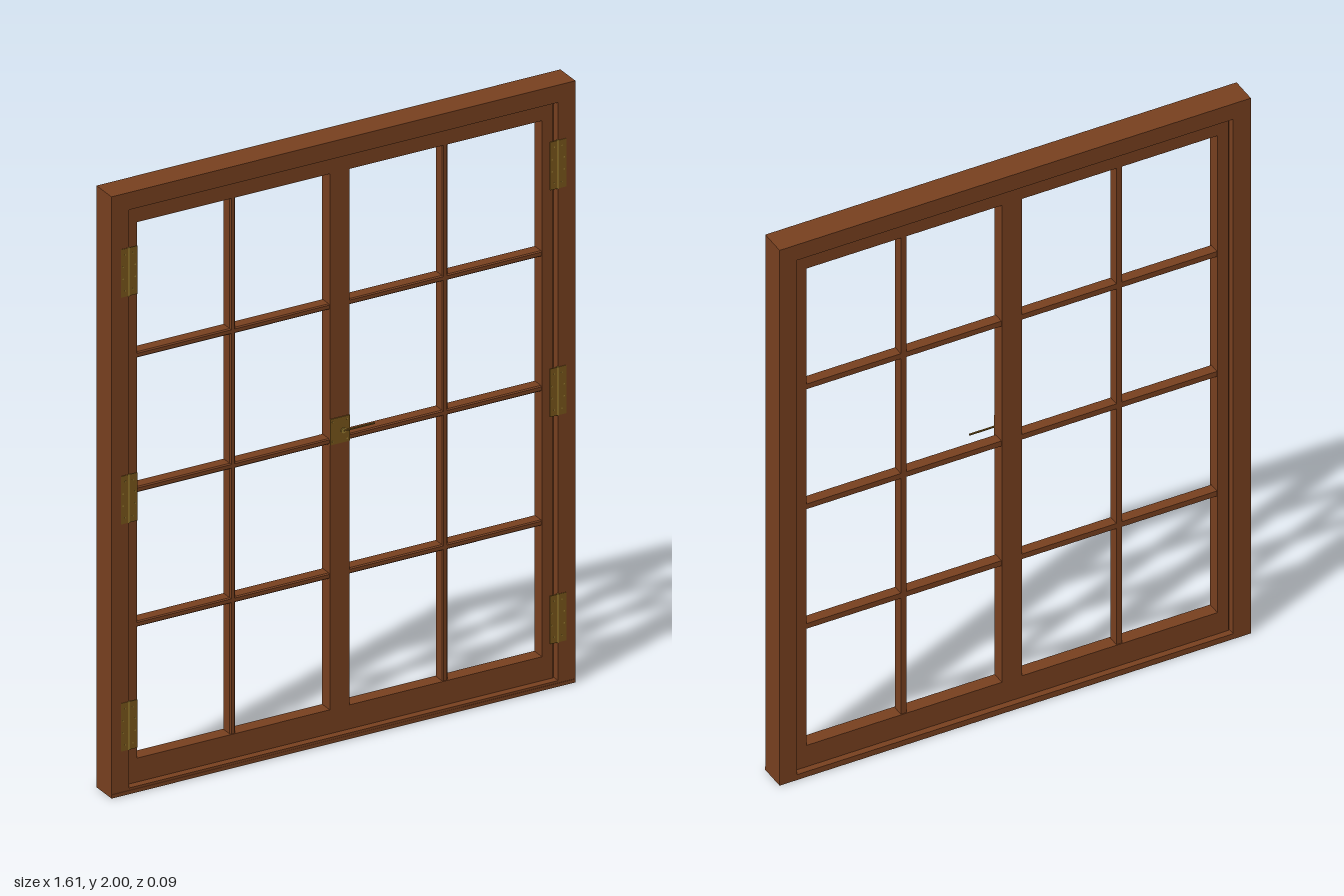
import * as THREE from 'three';

export function createModel() {
  const wood = new THREE.MeshStandardMaterial({ color: 0x78401f });
  wood.name = 'wood';
  const brass = new THREE.MeshStandardMaterial({ color: 0x7a561a });
  brass.name = 'agedBrass';
  const polished = new THREE.MeshStandardMaterial({ color: 0x9c7f32 });
  polished.name = 'polishedBrass';

  const model = new THREE.Group();
  model.name = 'casementWindow';

  function add(parent, name, geometry, material) {
    const mesh = new THREE.Mesh(geometry, material);
    mesh.name = name;
    parent.add(mesh);
    return mesh;
  }
  // Box given by its limits on each axis
  function box(parent, name, x0, x1, y0, y1, z0, z1, material) {
    const mesh = add(parent, name, new THREE.BoxGeometry(x1 - x0, y1 - y0, z1 - z0), material);
    mesh.position.set((x0 + x1) / 2, (y0 + y1) / 2, (z0 + z1) / 2);
    return mesh;
  }
  // Short round part facing the front
  function disc(parent, name, x, y, z, radius, depth, material) {
    const mesh = add(parent, name, new THREE.CylinderGeometry(radius, radius, depth, 12), material);
    mesh.rotation.x = Math.PI / 2;
    mesh.position.set(x, y, z);
    return mesh;
  }
  function rectangle(target, x0, x1, y0, y1) {
    target.moveTo(x0, y0);
    target.lineTo(x1, y0);
    target.lineTo(x1, y1);
    target.lineTo(x0, y1);
    target.closePath();
    return target;
  }

  const BACK = -0.046, FRONT = 0.044;
  const SASH_BACK = -0.025, SASH_FRONT = 0.021;

  // Outer frame, with thin stops closing the joint around the leaves
  const frame = new THREE.Group();
  frame.name = 'outerFrame';
  model.add(frame);
  for (const s of [-1, 1]) {
    const x = s * 0.7725;
    box(frame, 'jamb', x - 0.03, x + 0.03, 0.012, 2, BACK, FRONT, wood);
    box(frame, 'sideStop', s * 0.74 - 0.003, s * 0.74 + 0.003, 0.02, 1.942, -0.02, 0.016, wood);
  }
  box(frame, 'head', -0.7425, 0.7425, 1.942, 2, BACK, FRONT, wood);
  box(frame, 'headStop', -0.737, 0.737, 1.936, 1.942, -0.02, 0.016, wood);
  box(frame, 'sill', -0.8025, 0.8025, 0, 0.012, BACK, FRONT + 0.001, wood);
  box(frame, 'sillStep', -0.7425, 0.7425, 0.012, 0.02, BACK, FRONT, wood);

  // Glazing bar with softened front edges, running along y
  function glazingBar(parent, name, length) {
    const w = 0.0095, n = 0.006;
    const profile = new THREE.Shape();
    profile.moveTo(-w, 0.022);
    profile.lineTo(-w, -0.014);
    profile.lineTo(-n, -0.018);
    profile.lineTo(n, -0.018);
    profile.lineTo(w, -0.014);
    profile.lineTo(w, 0.022);
    profile.closePath();
    const geometry = new THREE.ExtrudeGeometry(profile, { depth: length, bevelEnabled: false });
    geometry.translate(0, 0, -length / 2);
    geometry.rotateX(-Math.PI / 2);
    return add(parent, name, geometry, wood);
  }

  // Two leaves, each an open sash with one upright and three cross bars
  for (const s of [-1, 1]) {
    const leaf = new THREE.Group();
    leaf.name = s > 0 ? 'leftLeaf' : 'rightLeaf';
    model.add(leaf);
    const span = (a, b) => (s > 0 ? [a, b] : [-b, -a]);
    const shape = rectangle(new THREE.Shape(), ...span(0.0004, 0.738), 0.0205, 1.938);
    shape.holes.push(rectangle(new THREE.Path(), ...span(0.034, 0.7), 0.1, 1.882));
    const sash = add(leaf, 'sash', new THREE.ExtrudeGeometry(shape, {
      depth: SASH_FRONT - SASH_BACK, bevelEnabled: false,
    }), wood);
    sash.position.z = SASH_BACK;

    glazingBar(leaf, 'uprightBar', 1.79).position.set(s * 0.367, 0.991, 0);
    for (const y of [0.543, 0.99, 1.438]) {
      const bar = glazingBar(leaf, 'crossBar', 0.672);
      bar.rotation.z = Math.PI / 2;
      bar.position.set(s * 0.367, y, 0);
    }

    // Hinges across the joint of leaf and jamb
    for (const y of [0.228, 0.983, 1.737]) {
      const hinge = new THREE.Group();
      hinge.name = 'hinge';
      hinge.position.set(s * 0.742, y, 0);
      model.add(hinge);
      for (const side of [-1, 1]) {
        const x = side * 0.0155;
        box(hinge, 'hingePlate', x - 0.0125, x + 0.0125, -0.08, 0.08, 0.042, 0.0455, brass);
        for (const sy of [-0.06, -0.02, 0.02, 0.06]) {
          disc(hinge, 'screw', side * (Math.abs(sy) > 0.03 ? 0.013 : 0.021), sy, 0.0455, 0.0025, 0.001, polished);
        }
      }
      const pin = add(hinge, 'hingePin', new THREE.CylinderGeometry(0.0035, 0.0035, 0.162, 12), polished);
      pin.position.z = 0.043;
    }
  }

  // Latch on the meeting stiles with a slim lever
  const latch = new THREE.Group();
  latch.name = 'latch';
  latch.position.set(0, 1.02, SASH_FRONT);
  model.add(latch);
  box(latch, 'latchPlate', -0.034, 0.034, -0.04, 0.046, -0.001, 0.003, brass);
  disc(latch, 'rosette', 0.012, 0, 0.004, 0.009, 0.004, polished);
  for (const x of [-0.025, 0.025]) {
    for (const y of [-0.03, 0.035]) disc(latch, 'screw', x, y, 0.003, 0.0025, 0.001, polished);
  }
  box(latch, 'lever', 0.012, 0.117, -0.002, 0.002, 0.004, 0.009, brass);

  return model;
}
